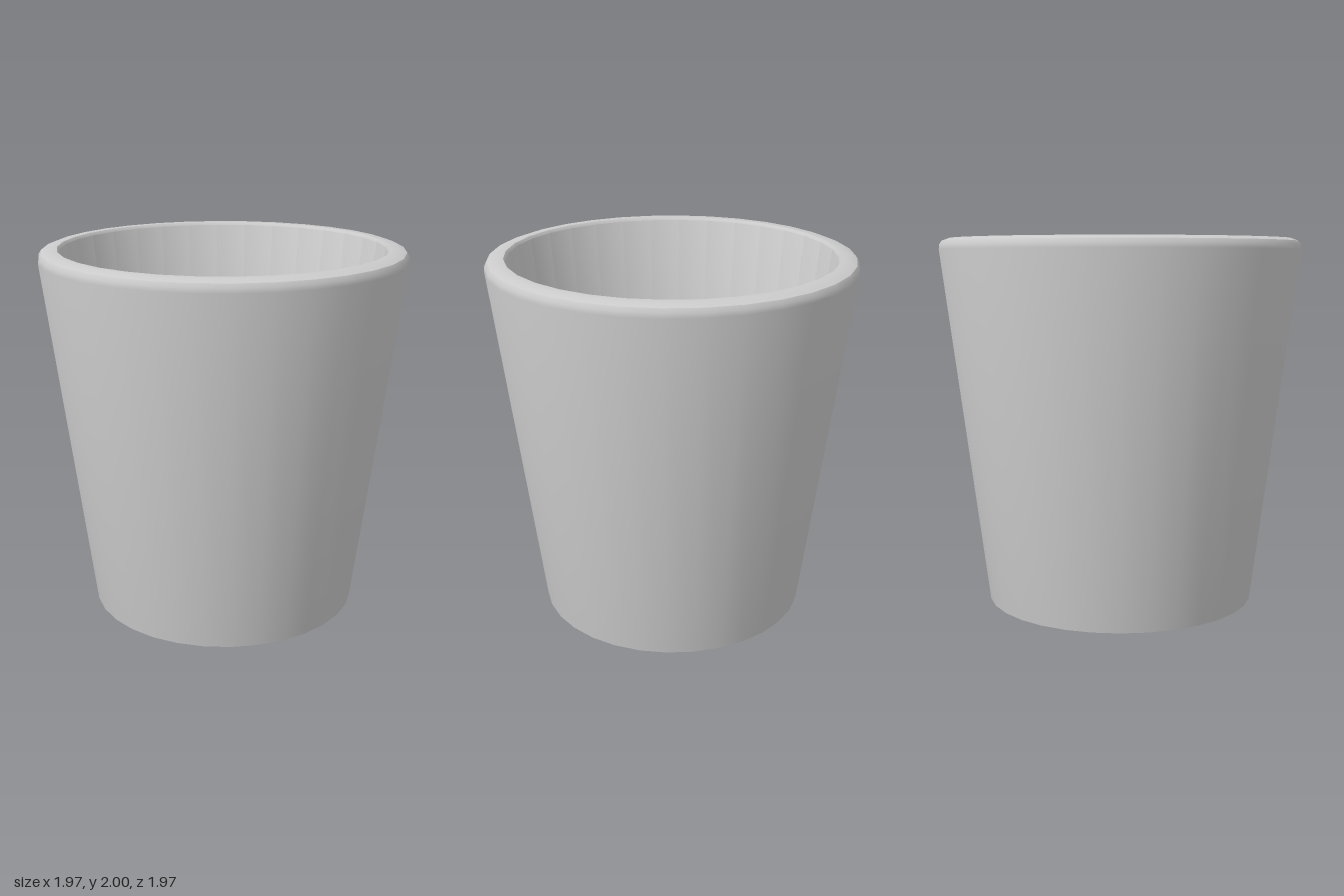
import * as THREE from 'three';
import { toCreasedNormals } from 'three/addons/utils/BufferGeometryUtils.js';

const SIDES = 32;

export function createModel() {
  const group = new THREE.Group();
  group.name = 'cup';
  const material = new THREE.MeshStandardMaterial({ color: 0xcccccc });

  // One closed profile: base, outer wall, rounded rim, inner wall, floor
  const profile = [
    [0, 0], [0.738, 0],
    [0.986, 1.94], [0.983, 1.965], [0.97, 1.985], [0.93, 2],
    [0.885, 2], [0.872, 1.985],
    [0.678, 0.2], [0, 0.2],
  ].map(([r, y]) => new THREE.Vector2(r, y));

  const lathe = new THREE.LatheGeometry(profile, SIDES);
  const body = new THREE.Mesh(toCreasedNormals(lathe, Math.PI / 5), material);
  body.name = 'cupBody';
  group.add(body);
  return group;
}
